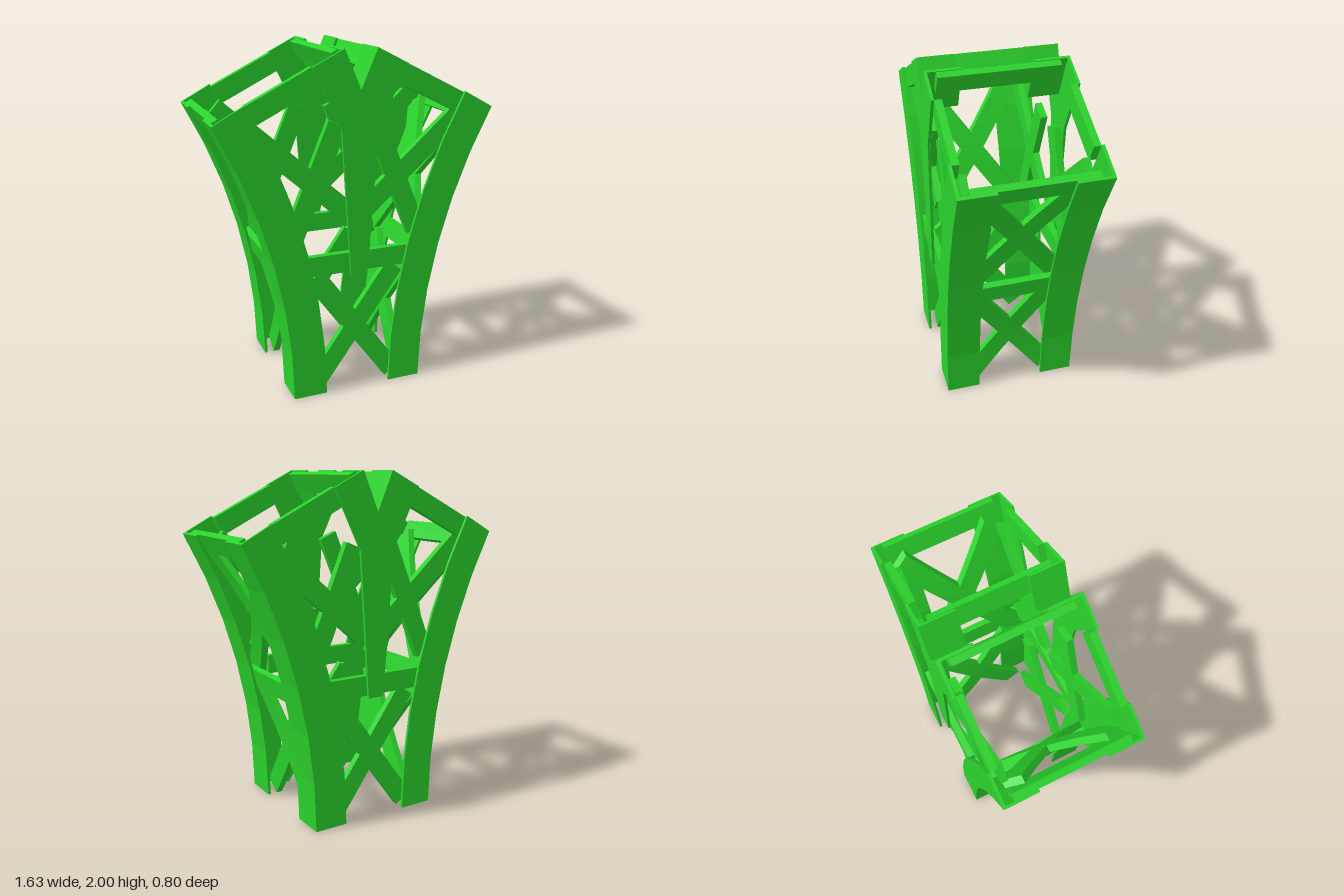
import * as THREE from 'three';

const material = new THREE.MeshStandardMaterial({ color: 0x2ad22c, flatShading: true });
const ARC_X = 3.85;              // centre of the arc the legs follow (at y = 0)
const R_OUT = 3.45, R_IN = 3.65; // outer and inner leg radii
const SWEEP = THREE.MathUtils.degToRad(28.4);
const SHEET = 0.016;             // thickness of the angle-section plates
const BAR = 0.117, THIN = 0.04;  // width and thickness of the bracing

const arcPoint = (r, a) => [ARC_X - r * Math.cos(a), r * Math.sin(a)];

// Outline between two concentric arcs: up the outer one, down the inner one
function arcBand(rOuter, rInner) {
  const points = [];
  for (let i = 0; i <= 6; i++) points.push(arcPoint(rOuter, SWEEP * i / 6));
  for (let i = 6; i >= 0; i--) points.push(arcPoint(rInner, SWEEP * i / 6));
  return points;
}

export function createModel() {
  const group = new THREE.Group();

  function add(name, geometry) {
    const mesh = new THREE.Mesh(geometry, material);
    mesh.name = name;
    group.add(mesh);
    return mesh;
  }

  // Flat outline in the xy plane, extruded between two depths
  function plate(name, points, za, zb) {
    const shape = new THREE.Shape(points.map(([x, y]) => new THREE.Vector2(x, y)));
    const geometry = new THREE.ExtrudeGeometry(shape, { depth: Math.abs(zb - za), bevelEnabled: false });
    geometry.translate(0, 0, Math.min(za, zb));
    add(name, geometry);
  }

  // Straight bar between two points in an xy plane at depth z
  function bar(name, [x0, y0], [x1, y1], z) {
    const mesh = add(name, new THREE.BoxGeometry(Math.hypot(x1 - x0, y1 - y0), BAR, THIN));
    mesh.position.set((x0 + x1) / 2, (y0 + y1) / 2, z);
    mesh.rotation.z = Math.atan2(y1 - y0, x1 - x0);
  }

  // Diagonal side brace, bent to follow the curve of the legs
  function sideBrace(name, side, yMid, angle, length) {
    const geometry = new THREE.BoxGeometry(THIN, BAR, length, 1, 1, 6);
    geometry.rotateX(angle);
    const p = geometry.attributes.position;
    const flat = new THREE.BoxGeometry(THIN, BAR, length, 1, 1, 6).attributes.position;
    for (let i = 0; i < p.count; i++) {
      const y = yMid + p.getY(i);
      const r = R_OUT + SHEET + THIN * 1.5 - side * flat.getX(i);
      p.setX(i, side * (ARC_X - Math.sqrt(r * r - y * y)));
      p.setY(i, y);
    }
    geometry.computeVertexNormals();
    add(name, geometry);
  }

  // Rail running front to back, leaning with the legs
  function crossRail(name, x, y, angle, length) {
    const mesh = add(name, new THREE.BoxGeometry(THIN, BAR, length));
    mesh.position.set(x, y, 0);
    mesh.rotation.z = -angle;
  }

  const mirrorX = (points, s) => points.map(([x, y]) => [s * x, y]);
  const legFace = arcBand(R_OUT, R_IN);
  const legSide = arcBand(R_OUT, R_OUT + SHEET);

  // Forked centre post, and the folded V plate lining its fork
  const halfPost = [[0.05, 0.73], [0.11, 1.575], [0.275, 1.91], [0.095, 2.0]];
  const postFace = [...halfPost, [0, 1.78], ...mirrorX(halfPost, -1).reverse()];
  const forkLining = [
    [0.095, 2.0], [0, 1.78], [-0.095, 2.0],
    [-0.11, 1.993], [0, 1.738], [0.11, 1.993],
  ];

  for (const f of [1, -1]) {
    const zRail = f * (0.4 - SHEET - THIN / 2);
    const zBrace = f * (0.4 - SHEET - THIN * 1.5);

    plate('centrePost', postFace, f * 0.4, f * (0.4 - SHEET));
    plate('forkLining', forkLining, f * 0.2, f * 0.4);
    bar('middleBeam', [-0.31, 0.803], [0.31, 0.803], zRail);

    for (const s of [1, -1]) {
      plate('legFace', mirrorX(legFace, s), f * 0.4, f * (0.4 - SHEET));
      plate('legSide', mirrorX(legSide, s), f * 0.2, f * 0.4);
      bar('topRail', [s * 0.247, 1.859], [s * 0.611, 1.677], zRail);
      bar('steepBrace', [s * 0.385, 0.935], [s * 0.11, 1.596], zBrace);
      bar('shallowBrace', [s * 0.05, 1.087], [s * 0.64, 1.61], zBrace);
      bar('lowerBrace', [s * -0.248, 0.036], [s * 0.248, 0.724], zBrace);
    }
  }

  // Side bracing between front and back legs
  for (const s of [1, -1]) {
    for (const d of [1, -1]) {
      sideBrace('lowerSideBrace', s, 0.38, d * 0.947, 0.85);
      sideBrace('upperSideBrace', s, 1.185, d * 0.94, 0.98);
    }
    const railRadius = R_OUT + SHEET + THIN / 2;
    for (const [name, y] of [['middleSideRail', 0.775], ['topSideRail', 1.605]]) {
      const a = Math.asin(y / railRadius);
      crossRail(name, s * arcPoint(railRadius, a)[0], y, s * a, 0.67);
    }
    crossRail('topInnerRail', s * 0.105, 1.93, s * 0.464, 0.68);
  }

  return group;
}
